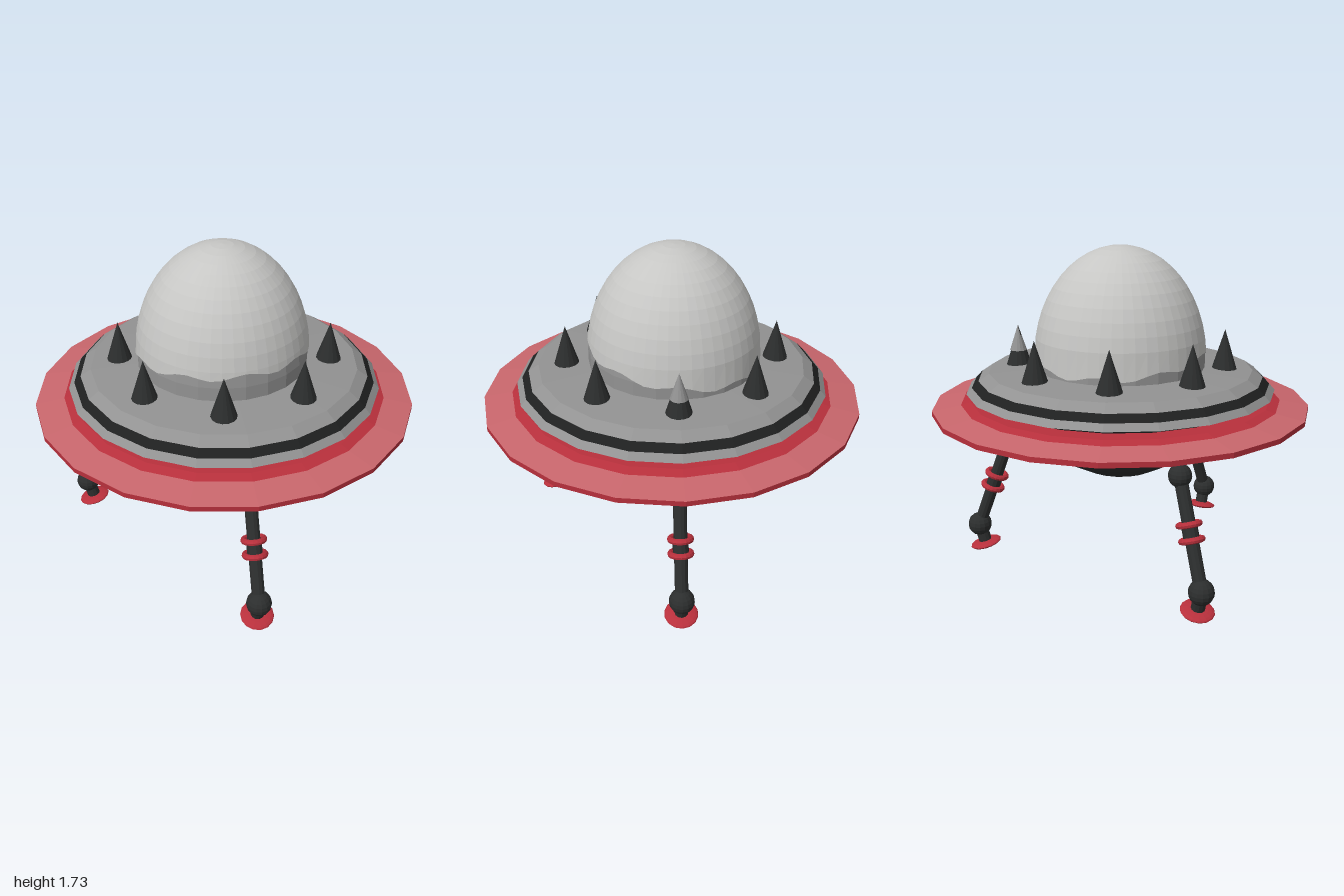
import * as THREE from 'three';

const flat = (name, color) => new THREE.MeshStandardMaterial({ name, color, flatShading: true, side: THREE.DoubleSide });
const red = flat('red', 0xb8303c);
const pink = flat('rosyRimTop', 0xc8666c);
const maroon = flat('maroonUnderside', 0x4c0a20);
const dark = flat('charcoal', 0x2c2e2e);
const black = flat('blackBand', 0x1f2020);
const grey = flat('hullGrey', 0x929292);
const pale = flat('domeGrey', 0xc6c6c4);

const v = (x, y, z = 0) => new THREE.Vector3(x, y, z);
const UP = v(0, 1, 0);

function add(parent, name, geometry, material) {
  const mesh = new THREE.Mesh(geometry, material);
  mesh.name = name;
  parent.add(mesh);
  return mesh;
}

// Turned section; points run [radius, height]
function turned(parent, name, points, material, sides = 20) {
  const profile = points.map(([r, y]) => new THREE.Vector2(r, y));
  return add(parent, name, new THREE.LatheGeometry(profile, sides), material);
}

function rod(parent, name, a, b, radius, material) {
  const mesh = add(parent, name, new THREE.CylinderGeometry(radius, radius, a.distanceTo(b), 12), material);
  mesh.position.copy(a).lerp(b, 0.5);
  mesh.quaternion.setFromUnitVectors(UP, b.clone().sub(a).normalize());
  return mesh;
}

function ball(parent, name, at, radius, material) {
  const mesh = add(parent, name, new THREE.SphereGeometry(radius, 14, 10), material);
  mesh.position.copy(at);
  return mesh;
}

// Ring whose hole follows the given axis
function ring(parent, name, at, axis, radius, tube, material) {
  const mesh = add(parent, name, new THREE.TorusGeometry(radius, tube, 8, 18), material);
  mesh.position.copy(at);
  mesh.quaternion.setFromUnitVectors(v(0, 0, 1), axis.clone().normalize());
  return mesh;
}

// Egg-shaped dome whose lower edge drips over the collar
function domeGeometry() {
  const columns = 48, rows = 12, base = 1.15, height = 0.59, radius = 0.455;
  const position = [], index = [];
  for (let j = 0; j <= rows; j++) {
    for (let i = 0; i <= columns; i++) {
      const a = (i / columns) * Math.PI * 2;
      const edge = Math.max(1.105, 1.185 + 0.055 * Math.cos(a + 0.4) + 0.014 * Math.sin(a * 9));
      const start = Math.asin((edge - base) / height);
      // upper rows are level, only the lowest row follows the drips
      const t = j === 0 ? start : 0.2 + (Math.PI / 2 - 0.2) * (j - 1) / (rows - 1);
      const r = radius * Math.cos(t);
      position.push(r * Math.sin(a), base + height * Math.sin(t), r * Math.cos(a));
    }
  }
  const w = columns + 1;
  for (let j = 0; j < rows; j++) {
    for (let i = 0; i < columns; i++) {
      const a = j * w + i;
      index.push(a, a + 1, a + w + 1, a, a + w + 1, a + w);
    }
  }
  const g = new THREE.BufferGeometry();
  g.setAttribute('position', new THREE.Float32BufferAttribute(position, 3));
  g.setIndex(index);
  g.computeVertexNormals();
  return g;
}

function makeLeg(angle, spread) {
  const leg = new THREE.Group();
  leg.name = 'leg';
  const hip = v(0.62, 0.68), ankle = v(spread, 0.15), foot = v(spread - 0.03, 0.035);
  const along = ankle.clone().sub(hip);
  ring(leg, 'hullSocket', v(0.53, 0.775), v(0.68, -0.73), 0.058, 0.024, red);
  ball(leg, 'hipJoint', hip, 0.06, dark);
  rod(leg, 'strut', hip, ankle, 0.034, dark);
  for (const t of [0.42, 0.555]) {
    ring(leg, 'strutRing', hip.clone().addScaledVector(along, t), along, 0.052, 0.016, red);
  }
  rod(leg, 'strutSleeve', hip.clone().addScaledVector(along, 0.42), hip.clone().addScaledVector(along, 0.555), 0.04, dark);
  ball(leg, 'ankleJoint', ankle, 0.066, dark);
  rod(leg, 'ankle', ankle, foot, 0.036, dark);
  const pad = ball(leg, 'footPad', foot, 0.088, red);
  pad.scale.y = 0.22;
  pad.rotation.z = -0.24;
  leg.rotation.y = -THREE.MathUtils.degToRad(angle);
  return leg;
}

export function createModel() {
  const model = new THREE.Group();
  model.name = 'flyingSaucer';

  // Lower hull bowl
  turned(model, 'lowerHull', [[0, 0.54], [0.2, 0.54], [0.37, 0.63], [0.53, 0.765], [0.64, 0.85]], dark);

  // Wide rim
  turned(model, 'rimUnderside', [[0.6, 0.842], [0.96, 0.868], [1, 0.882]], maroon);
  turned(model, 'rimEdge', [[1, 0.882], [1, 0.908]], red);
  turned(model, 'rimTop', [[1, 0.908], [0.85, 0.932]], pink);
  turned(model, 'rimInnerRing', [[0.85, 0.932], [0.8, 0.945], [0.68, 0.945]], red);

  // Upper hull with painted band
  turned(model, 'neck', [[0.7, 0.943], [0.77, 0.975]], dark);
  turned(model, 'upperHullLip', [[0.77, 0.975], [0.82, 0.988], [0.79, 1.02]], grey);
  turned(model, 'hullBand', [[0.79, 1.02], [0.755, 1.055]], black);
  turned(model, 'upperHullTop', [[0.755, 1.055], [0.7, 1.092], [0.4, 1.11]], grey);

  // Collar and dome
  const cabin = new THREE.Group();
  cabin.name = 'cabin';
  cabin.position.z = -0.012;
  model.add(cabin);
  turned(cabin, 'domeCollar', [[0.448, 1.09], [0.448, 1.18], [0.436, 1.27]], grey, 24);
  add(cabin, 'dome', domeGeometry(), pale);

  // Ring of spikes; the one on the left has a bare tip
  for (let i = 0; i < 8; i++) {
    const a = (i / 8) * Math.PI * 2;
    const spike = add(model, 'spike', new THREE.ConeGeometry(0.068, 0.215, 14), dark);
    spike.position.set(0.55 * Math.cos(a), 1.2, 0.55 * Math.sin(a));
    if (i === 0) {
      const tip = add(model, 'spikeTip', new THREE.ConeGeometry(0.045, 0.135, 14), grey);
      tip.position.set(0.552, 1.243, 0);
    }
  }

  // Three landing legs
  for (const [angle, spread] of [[0, 0.81], [123, 0.855], [-123.5, 0.835]]) model.add(makeLeg(angle, spread));
  return model;
}
